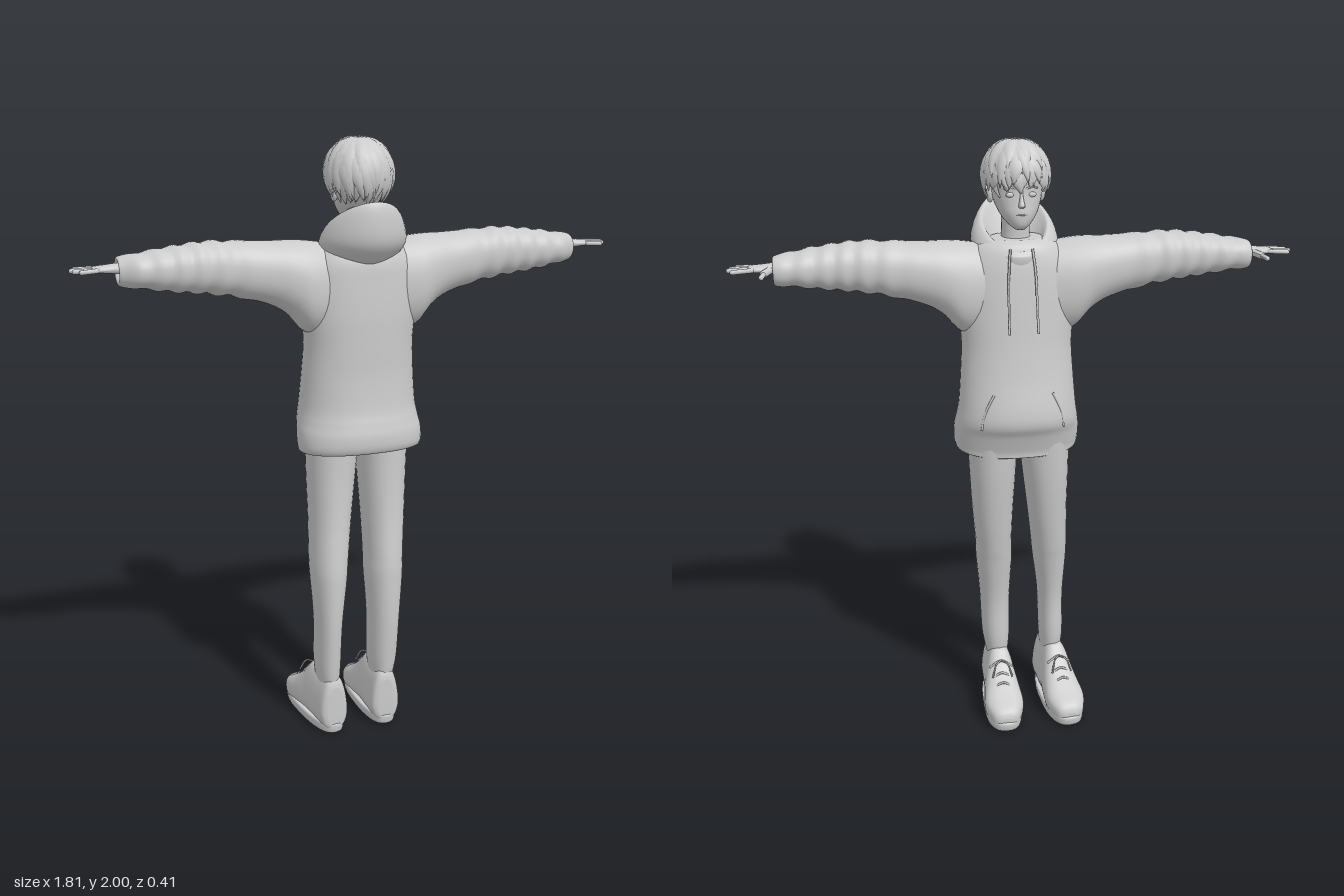
import * as THREE from 'three';

const grey = new THREE.MeshStandardMaterial({ color: 0xcccccc, side: THREE.DoubleSide });
const V = (x, y, z) => new THREE.Vector3(x, y, z);

// Seeded pseudo-random numbers in 0..1
let seed = 7;
const rnd = () => (seed = (seed * 16807) % 2147483647) / 2147483647;

// Coordinates (axis, u, v) of a cross-section for each loft axis
const ORDER = { x: [0, 1, 2], y: [1, 2, 0], z: [2, 0, 1] };

// Smooth skin through sections [t, uMin, uMax, vMin, vMax, slope]
function loft(axis, secs, { power = 2.2, sides = 36, steps = 6, warp } = {}) {
  const [A, U, W] = ORDER[axis], pos = [], index = [];
  const sec = (i, k) => secs[Math.min(Math.max(i, 0), secs.length - 1)][k] ?? 0;
  const rings = (secs.length - 1) * steps + 1;
  const put = (t, u, v) => {
    const p = [0, 0, 0];
    p[A] = t; p[U] = u; p[W] = v;
    const q = V(...p);
    if (warp) warp(q);
    pos.push(q.x, q.y, q.z);
  };
  const bend = (c) => Math.sign(c) * Math.abs(c) ** (2 / power);
  const centres = [];
  for (let r = 0; r < rings; r++) {
    const i = Math.min(Math.floor(r / steps), secs.length - 2), f = r / steps - i;
    const [t, u0, u1, v0, v1, s] = [0, 1, 2, 3, 4, 5].map((k) => {
      const a = sec(i - 1, k), b = sec(i, k), c = sec(i + 1, k), d = sec(i + 2, k);
      return b + 0.5 * f * (c - a + f * (2 * a - 5 * b + 4 * c - d + f * (3 * (b - c) + d - a)));
    });
    const cu = (u0 + u1) / 2, cv = (v0 + v1) / 2;
    centres.push([t + s * cu, cu, cv]);
    for (let j = 0; j < sides; j++) {
      const a = (j / sides) * Math.PI * 2;
      const u = cu + bend(Math.cos(a)) * (u1 - u0) / 2;
      put(t + s * u, u, cv + bend(Math.sin(a)) * (v1 - v0) / 2);
    }
  }
  put(...centres[0]);
  put(...centres[rings - 1]);
  const first = rings * sides, last = (rings - 1) * sides;
  for (let j = 0; j < sides; j++) {
    const k = (j + 1) % sides;
    for (let r = 0; r < rings - 1; r++) {
      const a = r * sides + j, b = r * sides + k;
      index.push(a, b, b + sides, a, b + sides, a + sides);
    }
    index.push(first, k, j, first + 1, last + j, last + k);
  }
  return finish(pos, index);
}

function finish(pos, index) {
  const g = new THREE.BufferGeometry();
  g.setAttribute('position', new THREE.Float32BufferAttribute(pos, 3));
  g.setIndex(index);
  g.computeVertexNormals();
  return g;
}

// Mirrored copy across x = 0 with the winding restored
function mirrorX(geo) {
  const g = geo.clone().scale(-1, 1, 1), ix = g.index.array;
  for (let i = 0; i < ix.length; i += 3) [ix[i], ix[i + 1]] = [ix[i + 1], ix[i]];
  g.computeVertexNormals();
  return g;
}

const tube = (pts, r, n = 16) => new THREE.TubeGeometry(new THREE.CatmullRomCurve3(pts), n, r, 6);

function capsule(a, b, r) {
  const d = b.clone().sub(a), g = new THREE.CapsuleGeometry(r, d.length(), 4, 10);
  g.applyQuaternion(new THREE.Quaternion().setFromUnitVectors(V(0, 1, 0), d.normalize()));
  const m = a.clone().add(b).multiplyScalar(0.5);
  return g.translate(m.x, m.y, m.z);
}

// Tapered lock of hair lying on the skull ellipsoid, from polar angle th0 to th1
function lock(az, th0, th1, width, lift, drift) {
  const pos = [], index = [], rows = 9, cols = 5;
  for (let i = 0; i < rows; i++) {
    const s = i / (rows - 1), th = th0 + (th1 - th0) * s;
    const half = width * (1 - s ** 2.5) / Math.max(Math.sin(th), 0.45);
    for (let j = 0; j < cols; j++) {
      const e = j / 2 - 1, a = az + drift * s * s + e * half;
      const r = 0.97 + lift * Math.sin(s * 2.6) + 0.04 * (1 - e * e);
      pos.push(0.103 * r * Math.sin(th) * Math.sin(a), 1.878 + 0.116 * r * Math.cos(th),
        0.028 + 0.112 * r * Math.sin(th) * Math.cos(a));
      if (i && j) {
        const q = i * cols + j;
        index.push(q - cols - 1, q - 1, q, q - cols - 1, q, q - cols);
      }
    }
  }
  return finish(pos, index);
}

export function createModel() {
  const model = new THREE.Group();
  const add = (name, geo, parent = model) => {
    const m = new THREE.Mesh(geo, grey);
    m.name = name;
    parent.add(m);
    return m;
  };
  const pair = (name, geo, parent) => {
    add(name + 'Left', geo, parent);
    add(name + 'Right', mirrorX(geo), parent);
  };
  const group = (name) => {
    const g = new THREE.Group();
    g.name = name;
    model.add(g);
    return g;
  };

  // Hoodie body with hem and front pouch bulge
  const hoodie = group('hoodie');
  add('torso', loft('y', [
    [1.03, -0.08, 0.13, -0.17, 0.17], [0.99, -0.1, 0.165, -0.198, 0.198, 0.08],
    [1.01, -0.105, 0.18, -0.208, 0.208, 0.06], [1.06, -0.125, 0.182, -0.208, 0.208],
    [1.1, -0.145, 0.174, -0.201, 0.201], [1.15, -0.145, 0.163, -0.193, 0.193],
    [1.25, -0.125, 0.155, -0.185, 0.185], [1.35, -0.11, 0.155, -0.18, 0.18],
    [1.45, -0.1, 0.155, -0.187, 0.187], [1.55, -0.09, 0.15, -0.187, 0.187],
    [1.62, -0.08, 0.143, -0.17, 0.17], [1.67, -0.065, 0.12, -0.13, 0.13],
    [1.69, -0.04, 0.09, -0.08, 0.08],
  ], { power: 2.3, sides: 48 }), hoodie);

  // Sleeves with folds toward the cuff
  pair('sleeve', loft('x', [
    [0.1, 1.38, 1.67, -0.07, 0.12], [0.18, 1.39, 1.682, -0.082, 0.132],
    [0.24, 1.452, 1.685, -0.08, 0.122], [0.3, 1.487, 1.685, -0.074, 0.11],
    [0.4, 1.515, 1.69, -0.065, 0.1], [0.5, 1.533, 1.693, -0.06, 0.1],
    [0.6, 1.545, 1.683, -0.055, 0.097], [0.7, 1.56, 1.668, -0.057, 0.085],
    [0.75, 1.565, 1.66, -0.053, 0.058], [0.763, 1.575, 1.653, -0.045, 0.048],
    [0.755, 1.588, 1.642, -0.034, 0.038], [0.72, 1.6, 1.635, -0.025, 0.03],
  ], {
    warp: (p) => {
      const k = THREE.MathUtils.smoothstep(p.x, 0.3, 0.45) * (1 - THREE.MathUtils.smoothstep(p.x, 0.7, 0.76));
      const f = 1 + 0.045 * k * Math.sin(p.x * 75 + p.z * 22 + 3 * Math.sin(p.x * 11));
      p.y = 1.615 + (p.y - 1.615) * f;
      p.z = 0.02 + (p.z - 0.02) * f;
    },
    steps: 10,
  }), hoodie);

  // Lowered hood: bulging shell with a tilted rim folded inward
  add('hood', loft('y', [
    [1.59, -0.07, 0.14, -0.08, 0.08, 0.15], [1.63, -0.08, 0.188, -0.125, 0.125, 0.15],
    [1.66, -0.082, 0.206, -0.14, 0.14, 0.22], [1.685, -0.078, 0.204, -0.13, 0.13, 0.45],
    [1.7, -0.07, 0.19, -0.11, 0.11, 0.58], [1.69, -0.055, 0.165, -0.095, 0.095, 0.55],
    [1.65, -0.04, 0.11, -0.07, 0.07, 0.3], [1.61, -0.02, 0.08, -0.05, 0.05],
  ], { power: 1.9, sides: 40 }), hoodie);

  // Drawstrings and pouch openings
  pair('drawstring', tube([V(0.035, 1.67, -0.078), V(0.042, 1.6, -0.095), V(0.045, 1.5, -0.112),
    V(0.046, 1.41, -0.13)], 0.004), hoodie);
  pair('pouchOpening', tube([V(0.095, 1.21, -0.12), V(0.115, 1.17, -0.118), V(0.128, 1.13, -0.115),
    V(0.135, 1.09, -0.113)], 0.004), hoodie);

  // Hands: palm, four fingers and a thumb
  const hands = group('hands');
  pair('palm', loft('x', [
    [0.72, 1.603, 1.64, -0.022, 0.026], [0.765, 1.606, 1.638, -0.026, 0.026],
    [0.8, 1.61, 1.634, -0.034, 0.031], [0.83, 1.613, 1.631, -0.031, 0.031],
    [0.838, 1.617, 1.628, -0.026, 0.028],
  ], { sides: 20 }), hands);
  [[-0.026, -0.034, 0.885], [-0.007, -0.009, 0.897], [0.011, 0.013, 0.89], [0.026, 0.034, 0.872]]
    .forEach(([z0, z1, tip], i) =>
      pair('finger' + (i + 1), capsule(V(0.825, 1.622, z0), V(tip, 1.62, z1), 0.0075), hands));
  pair('thumbBase', capsule(V(0.77, 1.62, -0.015), V(0.79, 1.616, -0.055), 0.012), hands);
  pair('thumb', capsule(V(0.788, 1.617, -0.05), V(0.797, 1.614, -0.092), 0.008), hands);

  // Trouser legs in a slightly uneven stance
  const depth = [[0.17, 0.01, 0.14], [0.25, 0, 0.15], [0.4, 0, 0.16], [0.55, -0.025, 0.16],
    [0.62, -0.04, 0.155], [0.75, -0.063, 0.137], [0.9, -0.085, 0.127], [1.05, -0.1, 0.125]];
  const stance = {
    Left: [[0.028, 0.1], [0.02, 0.115], [0.018, 0.122], [0.012, 0.135], [0.014, 0.138], [0.012, 0.15],
      [0.005, 0.16], [-0.002, 0.168]],
    Right: [[-0.165, -0.095], [-0.173, -0.09], [-0.173, -0.085], [-0.18, -0.065], [-0.18, -0.057],
      [-0.175, -0.04], [-0.175, -0.02], [-0.175, -0.002]],
  };
  for (const side in stance) {
    add('trouserLeg' + side, loft('y', depth.map((d, i) => [...d, ...stance[side][i]]), { sides: 32 }));
  }

  // Shoes: upper, sole and laces
  const upper = loft('z', [
    [-0.2, -0.02, 0.02, 0.025, 0.05], [-0.185, -0.045, 0.045, 0.012, 0.075],
    [-0.13, -0.067, 0.067, 0.01, 0.105], [-0.07, -0.065, 0.065, 0.01, 0.145],
    [-0.02, -0.06, 0.06, 0.01, 0.195], [0.01, -0.058, 0.058, 0.01, 0.217],
    [0.08, -0.055, 0.055, 0.01, 0.21], [0.135, -0.05, 0.05, 0.01, 0.205],
    [0.15, -0.03, 0.03, 0.02, 0.17],
  ], { power: 2.8, warp: (p) => { p.x *= 1 - 0.25 * THREE.MathUtils.smoothstep(p.y, 0.06, 0.2); } });
  const sole = loft('y', [
    [0, -0.19, 0.14, -0.056, 0.056], [0.004, -0.202, 0.15, -0.066, 0.066],
    [0.03, -0.207, 0.154, -0.069, 0.069], [0.036, -0.2, 0.15, -0.064, 0.064],
  ], { power: 2.6, steps: 3, warp: (p) => { p.x *= 0.92 - 0.6 * p.z; } });
  for (const [side, x, turn] of [['Left', 0.064, -0.02], ['Right', -0.139, 0.1]]) {
    const shoe = group('shoe' + side);
    add('upper', upper, shoe);
    add('sole', sole, shoe);
    [[-0.095, 0.13], [-0.065, 0.152], [-0.035, 0.183]].forEach(([z, y]) => {
      add('lace', tube([V(-0.04, y - 0.022, z), V(0, y + 0.002, z), V(0.04, y - 0.022, z)], 0.004), shoe);
    });
    for (const s of [-1, 1]) {
      add('laceEnd', tube([V(0, 0.188, -0.037), V(s * 0.02, 0.185, -0.06), V(s * 0.035, 0.145, -0.08)], 0.003), shoe);
    }
    shoe.position.x = x;
    shoe.rotation.y = turn;
  }

  // Head and neck, facing -z
  const head = group('head');
  add('neck', loft('y', [[1.6, -0.02, 0.1, -0.055, 0.055], [1.7, -0.012, 0.085, -0.045, 0.045],
    [1.8, -0.02, 0.09, -0.047, 0.047]]), head);
  add('skull', loft('y', [
    [1.728, -0.068, -0.03, -0.016, 0.016], [1.745, -0.08, 0.03, -0.038, 0.038],
    [1.775, -0.084, 0.075, -0.06, 0.06], [1.81, -0.08, 0.105, -0.074, 0.074],
    [1.85, -0.077, 0.125, -0.081, 0.081], [1.9, -0.079, 0.127, -0.084, 0.084],
    [1.95, -0.055, 0.1, -0.065, 0.065], [1.975, -0.01, 0.06, -0.03, 0.03],
  ]), head);
  add('nose', loft('y', [[1.797, -0.083, -0.07, -0.008, 0.008], [1.805, -0.1, -0.07, -0.01, 0.01],
    [1.825, -0.09, -0.07, -0.006, 0.006], [1.85, -0.079, -0.07, -0.004, 0.004]], { sides: 14 }), head);
  add('mouth', tube([V(-0.018, 1.776, -0.079), V(0, 1.777, -0.085), V(0.018, 1.776, -0.079)], 0.0025), head);
  pair('eye', new THREE.SphereGeometry(1, 16, 10).scale(0.014, 0.008, 0.006).translate(0.034, 1.837, -0.07), head);
  pair('eyebrow', tube([V(0.016, 1.856, -0.077), V(0.034, 1.861, -0.072), V(0.052, 1.855, -0.061)], 0.003), head);
  pair('ear', new THREE.SphereGeometry(1, 14, 10).scale(0.012, 0.027, 0.018).translate(0.082, 1.825, 0.03), head);

  // Hair: scalp cap plus layered locks, shorter over the face
  const hair = group('hair');
  add('scalp', new THREE.SphereGeometry(1, 32, 12, 0, Math.PI * 2, 0, 1.35)
    .scale(0.099, 0.112, 0.108).translate(0, 1.878, 0.028), hair);
  [[0.1, 0.75, 0.05], [0.35, 0.9, 0.06], [0.75, 0.95, 0.05], [1.15, 1, 0.03]].forEach(([th0, reach, lift], layer) => {
    const count = 17 + layer * 2;
    for (let i = 0; i < count; i++) {
      const az = ((i + 0.5 * (layer % 2) + 0.4 * rnd()) / count) * Math.PI * 2;
      const end = (2.1 + 0.3 * Math.cos(az) + 0.22 * (rnd() - 0.5)) * reach;
      add('lock', lock(az, th0, end, 0.2 + 0.06 * rnd(), lift + 0.06 * rnd(), (rnd() - 0.35) * 0.5), hair);
    }
  });

  return model;
}
